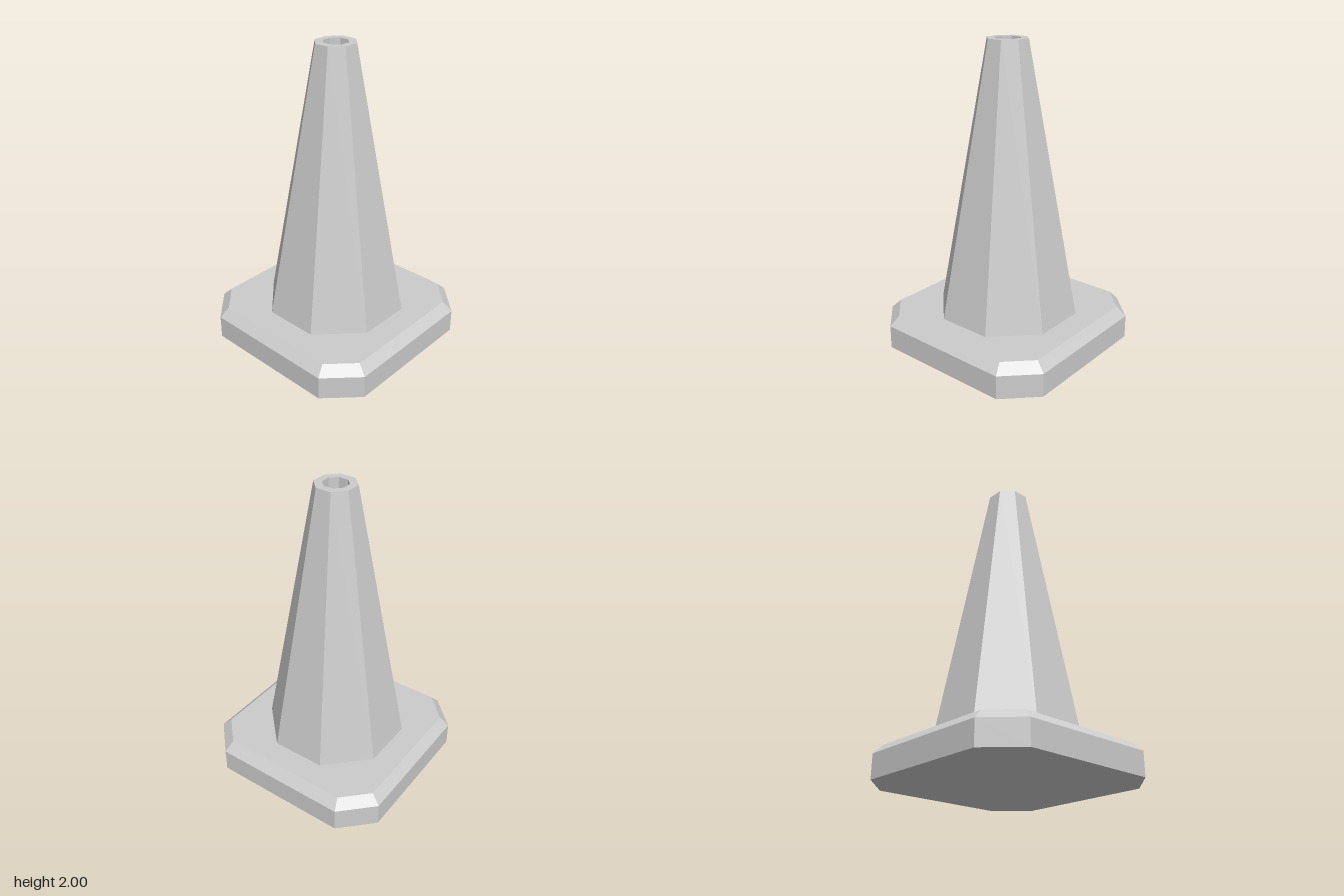
import * as THREE from 'three';

const material = new THREE.MeshStandardMaterial({ color: 0xcccccc, flatShading: true });

// Square ring with cut corners: half width a, corner cut starting at c, height y
function cutSquare(a, c, y) {
  return [[a, c], [c, a], [-c, a], [-a, c], [-a, -c], [-c, -a], [c, -a], [a, -c]]
    .map(([x, z]) => [x, y, z]);
}

// Closed solid through a stack of rings, listed bottom to top
function loft(rings) {
  const positions = [];
  const tri = (...corners) => corners.forEach((p) => positions.push(...p));
  const n = rings[0].length;
  const bottom = rings[0], top = rings[rings.length - 1];
  for (let i = 0; i < n; i++) {
    const j = (i + 1) % n;
    for (let k = 0; k < rings.length - 1; k++) {
      const lo = rings[k], hi = rings[k + 1];
      tri(lo[i], hi[i], hi[j]);
      tri(lo[i], hi[j], lo[j]);
    }
    tri([0, bottom[0][1], 0], bottom[i], bottom[j]);
    tri([0, top[0][1], 0], top[j], top[i]);
  }
  const geometry = new THREE.BufferGeometry();
  geometry.setAttribute('position', new THREE.Float32BufferAttribute(positions, 3));
  geometry.computeVertexNormals();
  return geometry;
}

export function createModel() {
  const group = new THREE.Group();
  group.name = 'trafficCone';

  // Base plate with cut corners and a bevelled top edge
  const base = new THREE.Mesh(loft([
    cutSquare(0.655, 0.457, 0),
    cutSquare(0.655, 0.457, 0.155),
    cutSquare(0.595, 0.435, 0.215),
  ]), material);
  base.name = 'base';
  group.add(base);

  // Eight-sided tapered body with a recessed hole in its tip;
  // the profile gives distances to the flat sides
  const toCorner = 1 / Math.cos(Math.PI / 8);
  const profile = [[0.435, 0.215], [0.123, 2], [0.076, 2], [0.076, 1.85], [0, 1.85]]
    .map(([r, y]) => new THREE.Vector2(r * toCorner, y));
  const body = new THREE.Mesh(new THREE.LatheGeometry(profile, 8, Math.PI / 8), material);
  body.name = 'coneBody';
  group.add(body);

  return group;
}
